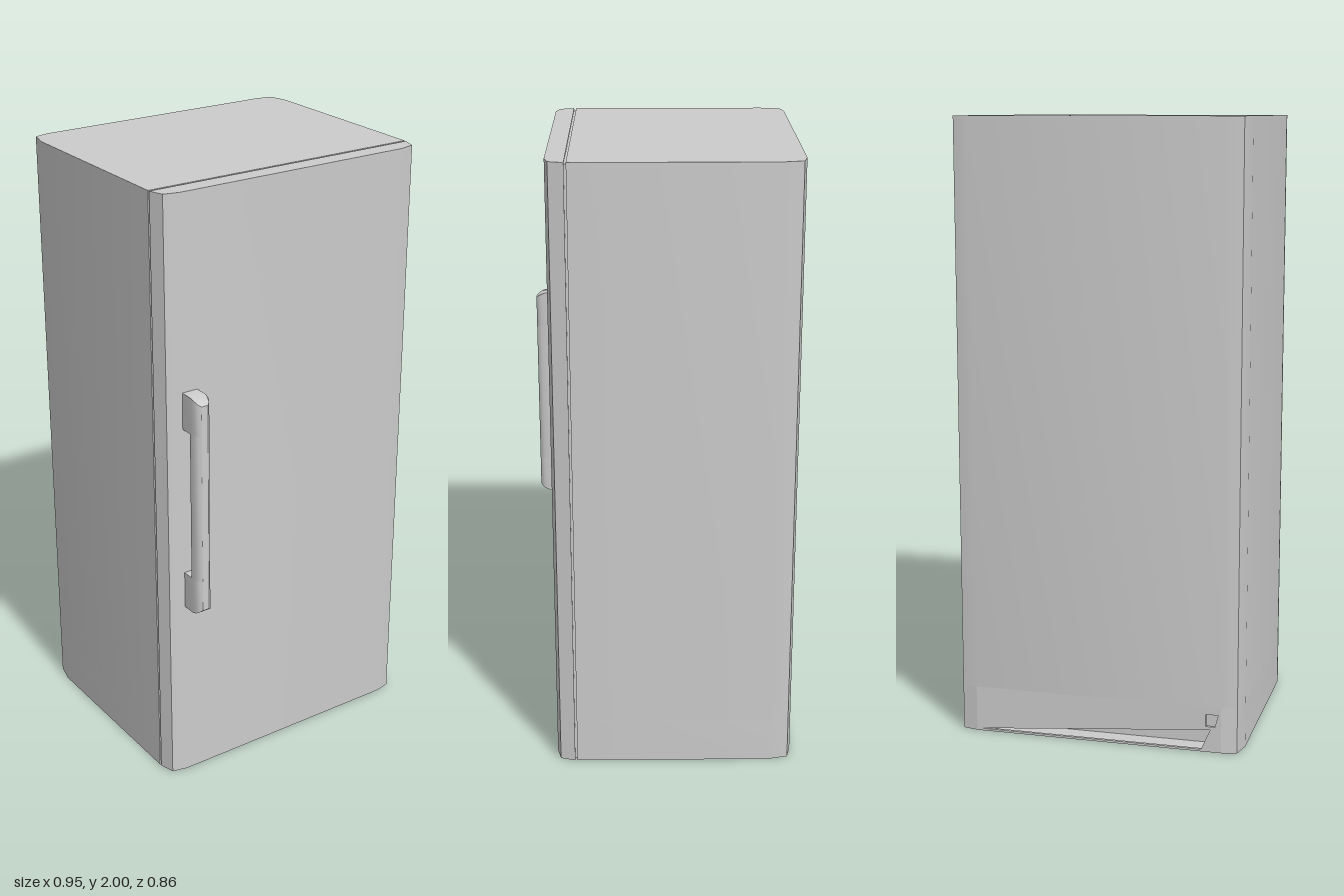
import * as THREE from 'three';
import { toCreasedNormals } from 'three/addons/utils/BufferGeometryUtils.js';

const material = new THREE.MeshStandardMaterial({ color: 0xcccccc });

const shapeOf = (points) => new THREE.Shape(points.map(([x, y]) => new THREE.Vector2(x, y)));

// Extrude a plan outline of [x, z] points from y0 up to y1.
function prism(points, y0, y1) {
  const shape = shapeOf(points.map(([x, z]) => [x, -z]));
  const geometry = new THREE.ExtrudeGeometry(shape, { depth: y1 - y0, bevelEnabled: false });
  geometry.rotateX(-Math.PI / 2).translate(0, y0, 0);
  return geometry;
}

function addPart(group, name, geometry) {
  const mesh = new THREE.Mesh(toCreasedNormals(geometry, 0.55), material);
  mesh.name = name;
  group.add(mesh);
}

// Complete one half of a plan outline by mirroring it across x = 0.
const mirrored = (half) => [...half, ...half.map(([x, z]) => [-x, z]).reverse()];

export function createModel() {
  const model = new THREE.Group();
  model.name = 'refrigerator';

  // Cabinet with softened rear corners; its lowest part holds a rear compartment.
  const side = [[0.475, 0.28], [0.475, -0.355], [0.46, -0.418], [0.41, -0.43]];
  const lowerY = 0.15;
  const floorY = 0.005;
  addPart(model, 'cabinet', prism(mirrored(side), lowerY, 2));
  addPart(model, 'cabinetBase', prism(mirrored([...side, [0.41, -0.36]]), floorY, lowerY));
  addPart(model, 'floor', prism(mirrored(side), 0, floorY));

  // Rear cover with a tapering slot and a small notch at its end.
  const cover = shapeOf([[-0.41, floorY], [0.41, floorY], [0.41, lowerY], [-0.41, lowerY]]);
  cover.holes.push(
    shapeOf([[0.4, 0.007], [-0.345, 0.007], [-0.375, 0.075]]),
    shapeOf([[-0.36, 0.085], [-0.36, 0.125], [-0.4, 0.125], [-0.39, 0.085]]),
  );
  const coverGeometry = new THREE.ExtrudeGeometry(cover, { depth: 0.01, bevelEnabled: false });
  addPart(model, 'rearCover', coverGeometry.translate(0, 0, -0.43));

  // Recessed seal between cabinet and door.
  const seal = new THREE.BoxGeometry(0.938, 1.99, 0.01);
  addPart(model, 'doorSeal', seal.translate(0, 1, 0.2835));

  // Door with softened front corners.
  addPart(model, 'door', prism(mirrored([[0.475, 0.287], [0.46, 0.335], [0.41, 0.347]]), 0, 2));

  // Handle: rounded bar with a foot at each end, front corners rolled off.
  const handle = new THREE.Group();
  handle.name = 'handle';
  model.add(handle);
  const handleX = -0.383;
  const middleY = 1.003;
  const halfLength = 0.373;
  const front = [[0.027, 0.395], [0.025, 0.412], [0.02, 0.422], [0.011, 0.428]];

  function handlePiece(name, back, y0, y1) {
    const outline = mirrored([[0.027, back], ...front]).map(([x, z]) => [x + handleX, z]);
    const geometry = prism(outline, y0, y1);
    const position = geometry.attributes.position;
    for (let i = 0; i < position.count; i++) {
      const roll = THREE.MathUtils.clamp((position.getZ(i) - 0.39) / 0.038, 0, 1);
      const limit = halfLength - 0.02 * roll * roll;
      const y = THREE.MathUtils.clamp(position.getY(i) - middleY, -limit, limit);
      position.setY(i, middleY + y);
    }
    addPart(handle, name, geometry);
  }
  handlePiece('grip', 0.387, 0.755, 1.255);
  handlePiece('lowerFoot', 0.347, middleY - halfLength, 0.755);
  handlePiece('upperFoot', 0.347, 1.255, middleY + halfLength);

  return model;
}
